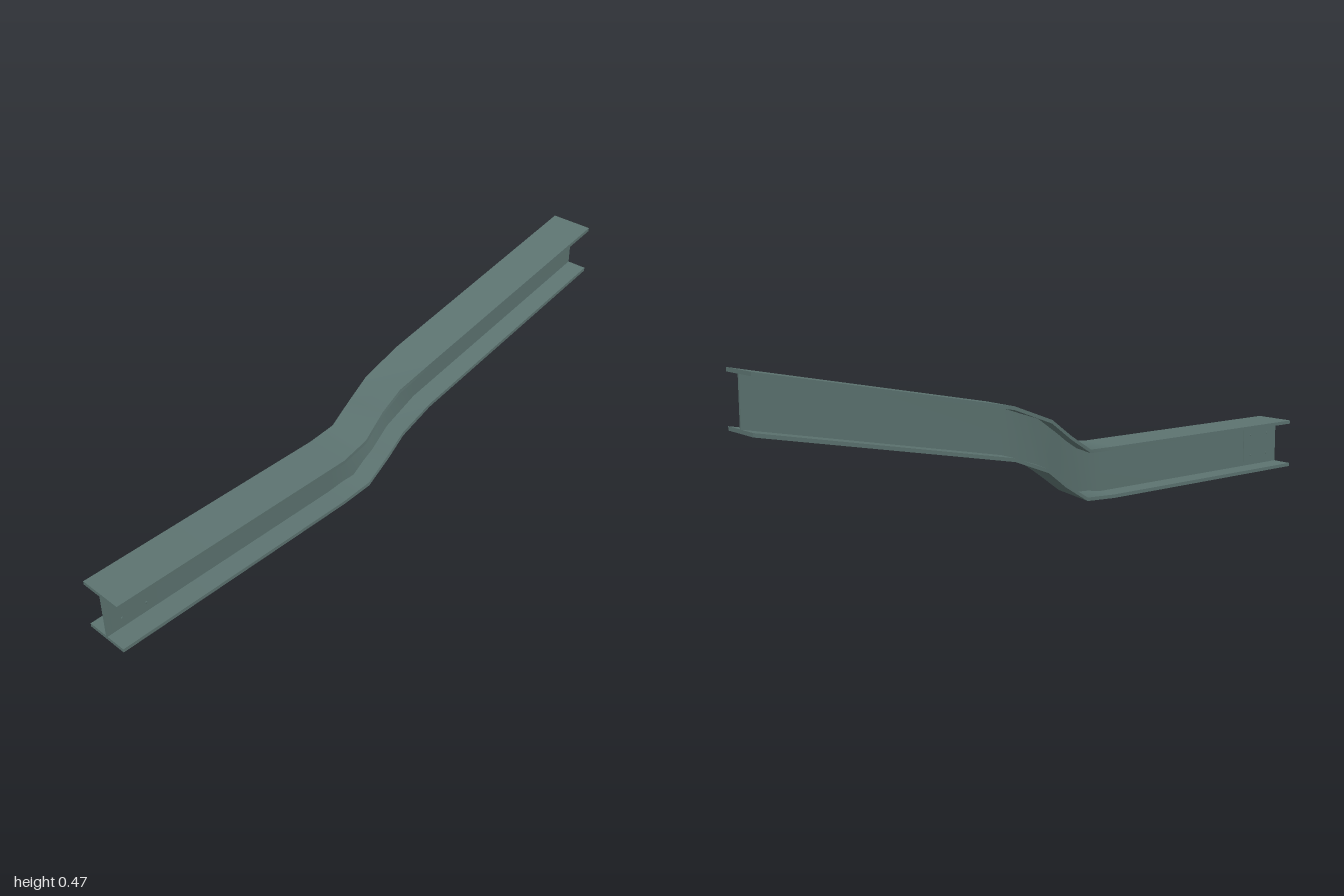
import * as THREE from 'three';

// Stations along the beam: x, underside height, roll about the long axis
const STATIONS = [
  [-1, 0, 0], [-0.18, 0, 0], [-0.08, 0.009, 0.09], [0, 0.064, 0.155],
  [0.07, 0.114, 0.1], [0.2, 0.157, 0], [1, 0.313, 0],
];
const HEIGHT = 0.16, HALF_WIDTH = 0.069, FLANGE = 0.011, HALF_WEB = 0.0035;

const steel = new THREE.MeshStandardMaterial({ color: 0x5c7370 });

// Sweeps a rectangle (y0..y1 above the underside, -w..w across) along the stations
function sweep(name, y0, y1, w) {
  const corners = [[y0, -w], [y0, w], [y1, w], [y1, -w]];
  const rings = STATIONS.map(([x, base, roll]) => corners.map(([y, z]) => {
    const h = y - HEIGHT / 2, c = Math.cos(roll), s = Math.sin(roll);
    return [x, base + HEIGHT / 2 + h * c + z * s, z * c - h * s];
  }));
  const pos = [], index = [];
  // Each long side has its own vertices: smooth lengthwise, sharp corners
  for (let k = 0; k < 4; k++) {
    const start = pos.length / 3;
    rings.forEach((r, i) => {
      pos.push(...r[k], ...r[(k + 1) % 4]);
      if (i === 0) return;
      const a = start + (i - 1) * 2, b = a + 1, a2 = a + 2, b2 = a + 3;
      index.push(a, a2, b, b, a2, b2);
    });
  }
  // End caps
  [rings[0], rings[rings.length - 1]].forEach((r, end) => {
    const o = pos.length / 3;
    pos.push(...r.flat());
    index.push(...(end ? [o, o + 2, o + 1, o, o + 3, o + 2] : [o, o + 1, o + 2, o, o + 2, o + 3]));
  });
  const geo = new THREE.BufferGeometry();
  geo.setAttribute('position', new THREE.Float32BufferAttribute(pos, 3));
  geo.setIndex(index);
  geo.computeVertexNormals();
  const mesh = new THREE.Mesh(geo, steel);
  mesh.name = name;
  return mesh;
}

// Thin splice plate with four small bolts on one side of the web
function splicePlate(side) {
  const group = new THREE.Group();
  group.name = side > 0 ? 'frontSplicePlate' : 'backSplicePlate';
  const plate = new THREE.Mesh(new THREE.BoxGeometry(0.15, 0.11, 0.003), steel);
  plate.name = 'plate';
  plate.position.set(-0.91, 0.08, side * (HALF_WEB + 0.0015));
  group.add(plate);
  for (const x of [-0.95, -0.87]) for (const y of [0.045, 0.115]) {
    const bolt = new THREE.Mesh(new THREE.CylinderGeometry(0.004, 0.004, 0.003, 8), steel);
    bolt.name = 'bolt';
    bolt.rotation.x = Math.PI / 2;
    bolt.position.set(x, y, side * (HALF_WEB + 0.004));
    group.add(bolt);
  }
  return group;
}

export function createModel() {
  const beam = new THREE.Group();
  beam.name = 'bentBeam';
  beam.add(
    sweep('bottomFlange', 0, FLANGE, HALF_WIDTH),
    sweep('web', FLANGE, HEIGHT - FLANGE, HALF_WEB),
    sweep('topFlange', HEIGHT - FLANGE, HEIGHT, HALF_WIDTH),
    splicePlate(1),
    splicePlate(-1),
  );
  return beam;
}
